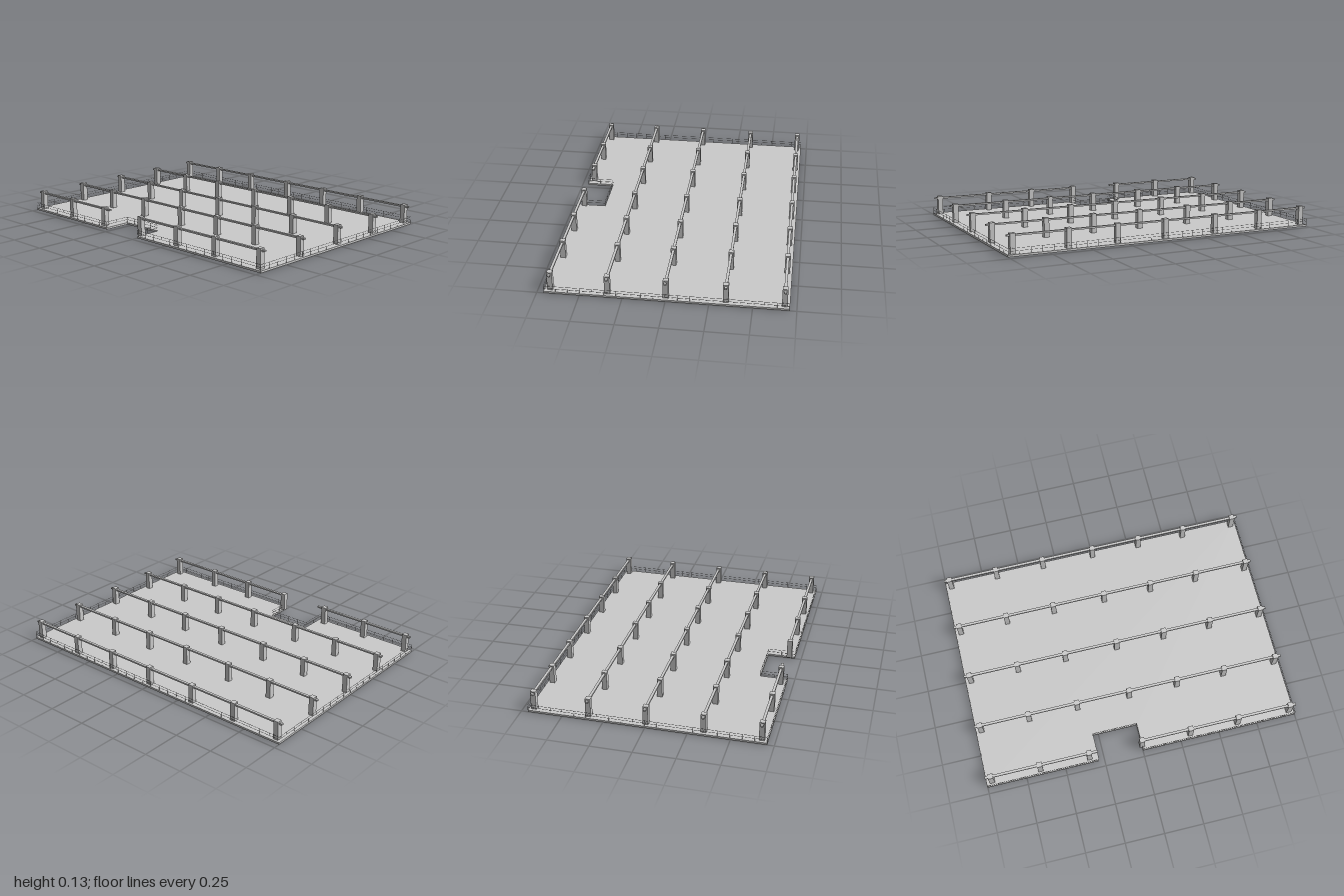
import * as THREE from 'three';

const material = new THREE.MeshStandardMaterial({ color: 0xcccccc, flatShading: true });
const SLAB_TOP = 0.012;
// Floor outline as [x, z], with the entrance notch in the front edge
const OUTLINE = [[-1, -0.71], [1, -0.71], [1, 0.71], [0, 0.71], [0, 0.54], [-0.285, 0.54], [-0.285, 0.71], [-1, 0.71]];

function box(parent, name, w, h, d, x, y, z) {
  const mesh = new THREE.Mesh(new THREE.BoxGeometry(w, h, d), material);
  mesh.name = name;
  mesh.position.set(x, y, z);
  parent.add(mesh);
  return mesh;
}

function group(parent, name) {
  const g = new THREE.Group();
  g.name = name;
  parent.add(g);
  return g;
}

export function createModel() {
  const model = new THREE.Group();
  model.name = 'openFloorStructure';

  // Floor slab
  const shape = new THREE.Shape(OUTLINE.map(([x, z]) => new THREE.Vector2(x, -z)));
  const slab = new THREE.Mesh(
    new THREE.ExtrudeGeometry(shape, { depth: SLAB_TOP, bevelEnabled: false }).rotateX(-Math.PI / 2), material);
  slab.name = 'floorSlab';
  model.add(slab);

  // Grid of square columns, with a slim beam along each row
  const columns = group(model, 'columns');
  const beams = group(model, 'beams');
  const columnX = [-0.965, -0.655, -0.34, 0, 0.315, 0.625, 0.965];
  const columnZ = [-0.68, -0.345, 0, 0.34, 0.675];
  const top = 0.13;
  columnZ.forEach((z, row) => {
    for (const x of columnX) {
      box(columns, 'column', 0.032, top - SLAB_TOP, 0.032, x, (top + SLAB_TOP) / 2, z);
    }
    // The front row is interrupted by the notch
    const spans = row === 4 ? [[-1, -0.285], [0, 1]] : [[-1, 1]];
    for (const [a, b] of spans) {
      box(beams, 'beam', b - a, 0.01, 0.016, (a + b) / 2, 0.117, z);
    }
  });

  // Fine wire railing around the floor edge
  const railing = group(model, 'railing');
  const wire = 0.0015;
  const inset = wire / 2;
  OUTLINE.forEach(([x0, z0], i) => {
    const [x1, z1] = OUTLINE[(i + 1) % OUTLINE.length];
    const length = Math.hypot(x1 - x0, z1 - z0);
    const dx = (x1 - x0) / length, dz = (z1 - z0) / length;
    const side = group(railing, 'railingSide');
    // Local x runs along the edge, local z points into the floor
    side.position.set(x0, 0, z0);
    side.rotation.y = Math.atan2(-dz, dx);
    for (const y of [0.032, 0.048]) {
      box(side, 'rail', length, wire, wire, length / 2, y, inset);
    }
    const count = Math.max(1, Math.round(length / 0.07));
    for (let k = 0; k < count; k++) {
      box(side, 'railPost', wire, 0.048 - SLAB_TOP, wire, inset + (k * length) / count, (0.048 + SLAB_TOP) / 2, inset);
    }
  });

  return model;
}
